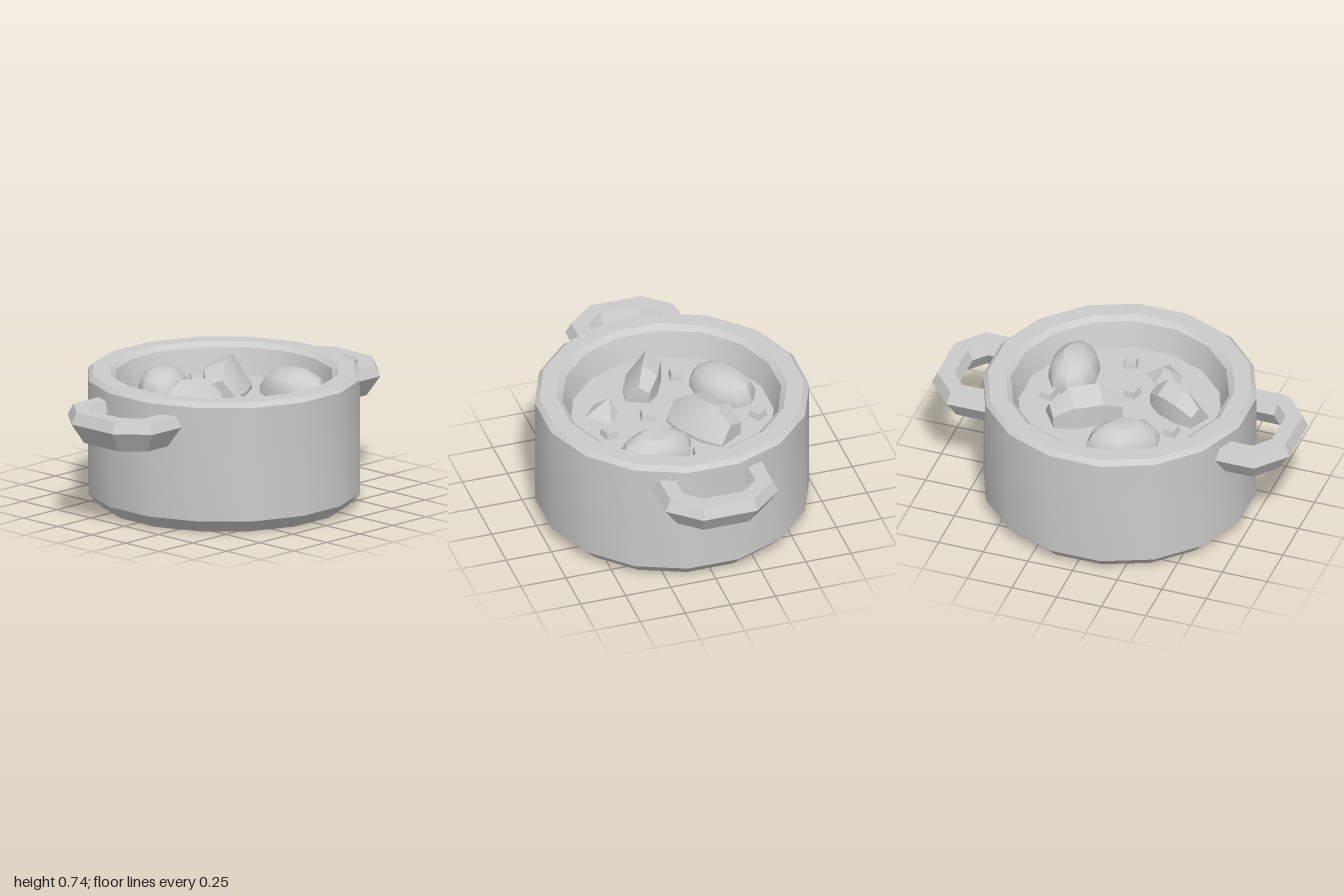
import * as THREE from 'three';
import { toCreasedNormals } from 'three/addons/utils/BufferGeometryUtils.js';
import { ConvexGeometry } from 'three/addons/geometries/ConvexGeometry.js';

const SIDES = 16;
const FLAT_TO_CORNER = 1 / Math.cos(Math.PI / SIDES);
const SOUP_Y = 0.55;
const smooth = new THREE.MeshStandardMaterial({ color: 0xcccccc });
const faceted = new THREE.MeshStandardMaterial({ color: 0xcccccc, flatShading: true });

function addMesh(parent, name, geometry, material) {
  const mesh = new THREE.Mesh(geometry, material);
  mesh.name = name;
  parent.add(mesh);
  return mesh;
}

// Pot wall with bevelled foot and rim, hollow at the top
function potGeometry() {
  const profile = [
    [0, 0], [0.645, 0], [0.715, 0.072], [0.715, 0.69], [0.69, 0.715],
    [0.6, 0.715], [0.57, 0.69], [0.53, SOUP_Y], [0.52, 0.5],
  ].map(([r, y]) => new THREE.Vector2(r * FLAT_TO_CORNER, y));
  return toCreasedNormals(new THREE.LatheGeometry(profile, SIDES, Math.PI / SIDES), 0.5);
}

// Loop handle: a five-sided section swept around mitred corners
function handleGeometry() {
  // outer x, z and inner x, z at each corner of the loop
  const half = [[0.6, 0.313, 0.6, 0.17], [0.86, 0.313, 0.8, 0.17], [1, 0.15, 0.86, 0.1]];
  const stations = [...half, ...half.map(([a, b, c, d]) => [a, -b, c, -d]).reverse()];
  // share of the way from outer to inner, height
  const section = [[0, 0.575], [0.2, 0.635], [0.8, 0.635], [1, 0.575], [0.5, 0.465]];
  const n = section.length;
  const positions = [];
  const index = [];
  for (const [ox, oz, ix, iz] of stations) {
    for (const [t, y] of section) positions.push(ox + (ix - ox) * t, y, oz + (iz - oz) * t);
  }
  for (let i = 0; i < stations.length - 1; i++) {
    for (let k = 0; k < n; k++) {
      const a = i * n + k, c = i * n + (k + 1) % n;
      index.push(a, a + n, c, c, a + n, c + n);
    }
  }
  const geometry = new THREE.BufferGeometry();
  geometry.setAttribute('position', new THREE.Float32BufferAttribute(positions, 3));
  geometry.setIndex(index);
  geometry.computeVertexNormals();
  return geometry;
}

// Rounded potato: oval rings that shrink towards the top
function domeGeometry(length, width, height) {
  const points = [];
  for (const [scale, y] of [[0.97, -0.04], [1, 0.04], [0.82, 0.1], [0.45, height]]) {
    for (let i = 0; i < 10; i++) {
      const a = (i / 10) * Math.PI * 2;
      points.push(new THREE.Vector3(Math.cos(a) * length * scale, y, Math.sin(a) * width * scale));
    }
  }
  return toCreasedNormals(new ConvexGeometry(points), 0.65);
}

// Cut potato: arched rows [depth, height] from the low front edge over the ridge to the back
function wedgeGeometry(length, rows) {
  const points = [];
  for (const [z, height] of rows) {
    for (const [u, rise] of [[-1, 0.55], [-0.42, 1], [0.42, 1], [1, 0.55]]) {
      const depth = z * (1 - 0.35 * u * u);
      points.push(new THREE.Vector3(u * length, height * rise, depth));
      points.push(new THREE.Vector3(u * length * 0.97, -0.04, depth));
    }
  }
  return toCreasedNormals(new ConvexGeometry(points), 0.5);
}

// Pointed chunk: five-cornered base rising to an off-centre peak
function peakGeometry() {
  const base = [[-0.105, -0.06], [-0.085, 0.02], [0.015, 0.1], [0.105, -0.02], [0.025, -0.085]];
  const points = base.map(([x, z]) => new THREE.Vector3(x, 0, z));
  points.push(new THREE.Vector3(-0.005, 0.085, -0.04));
  return new ConvexGeometry(points);
}

export function createModel() {
  const model = new THREE.Group();
  model.name = 'stewPot';

  addMesh(model, 'pot', potGeometry(), smooth);

  const soupRadius = 0.532 * FLAT_TO_CORNER;
  const soup = addMesh(model, 'soupSurface',
    new THREE.CylinderGeometry(soupRadius, soupRadius, 0.04, SIDES, 1, false, Math.PI / SIDES), faceted);
  soup.position.y = SOUP_Y - 0.02;

  const handle = handleGeometry();
  addMesh(model, 'leftHandle', handle, faceted);
  addMesh(model, 'rightHandle', handle, faceted).rotation.y = Math.PI;

  // Food floating at the soup surface
  function addFood(name, geometry, material, x, z, turn) {
    const piece = addMesh(model, name, geometry, material);
    piece.position.set(x, SOUP_Y, z);
    piece.rotation.y = turn;
  }
  addFood('backPotato', domeGeometry(0.2, 0.135, 0.14), smooth, -0.13, -0.32, 0.58);
  addFood('sidePotato', domeGeometry(0.205, 0.133, 0.14), smooth, 0.325, 0.195, -1.45);
  addFood('middlePotatoWedge', wedgeGeometry(0.19, [[0.125, 0.02], [0.01, 0.185], [-0.12, 0.13]]),
    smooth, 0.155, -0.125, 0.58);
  addFood('smallPotatoWedge', wedgeGeometry(0.155, [[0.085, 0.02], [-0.025, 0.18], [-0.112, 0.12]]),
    smooth, -0.31, 0.08, -0.445);
  addFood('frontChunk', peakGeometry(), faceted, -0.135, 0.345, 0);

  // Small diced pieces with sloping sides: x, z, turn
  const dice = [[0.14, -0.43, 0.65], [-0.33, -0.13, -0.15], [0.39, -0.03, -0.15], [-0.02, 0.13, -0.2], [0.07, 0.37, 0.25]];
  const diceGeometry = new THREE.CylinderGeometry(0.03 * Math.SQRT2, 0.044 * Math.SQRT2, 0.075, 4, 1, false, Math.PI / 4);
  dice.forEach(([x, z, turn], i) => addFood(`dicedPiece${i + 1}`, diceGeometry, faceted, x, z, turn));

  return model;
}
